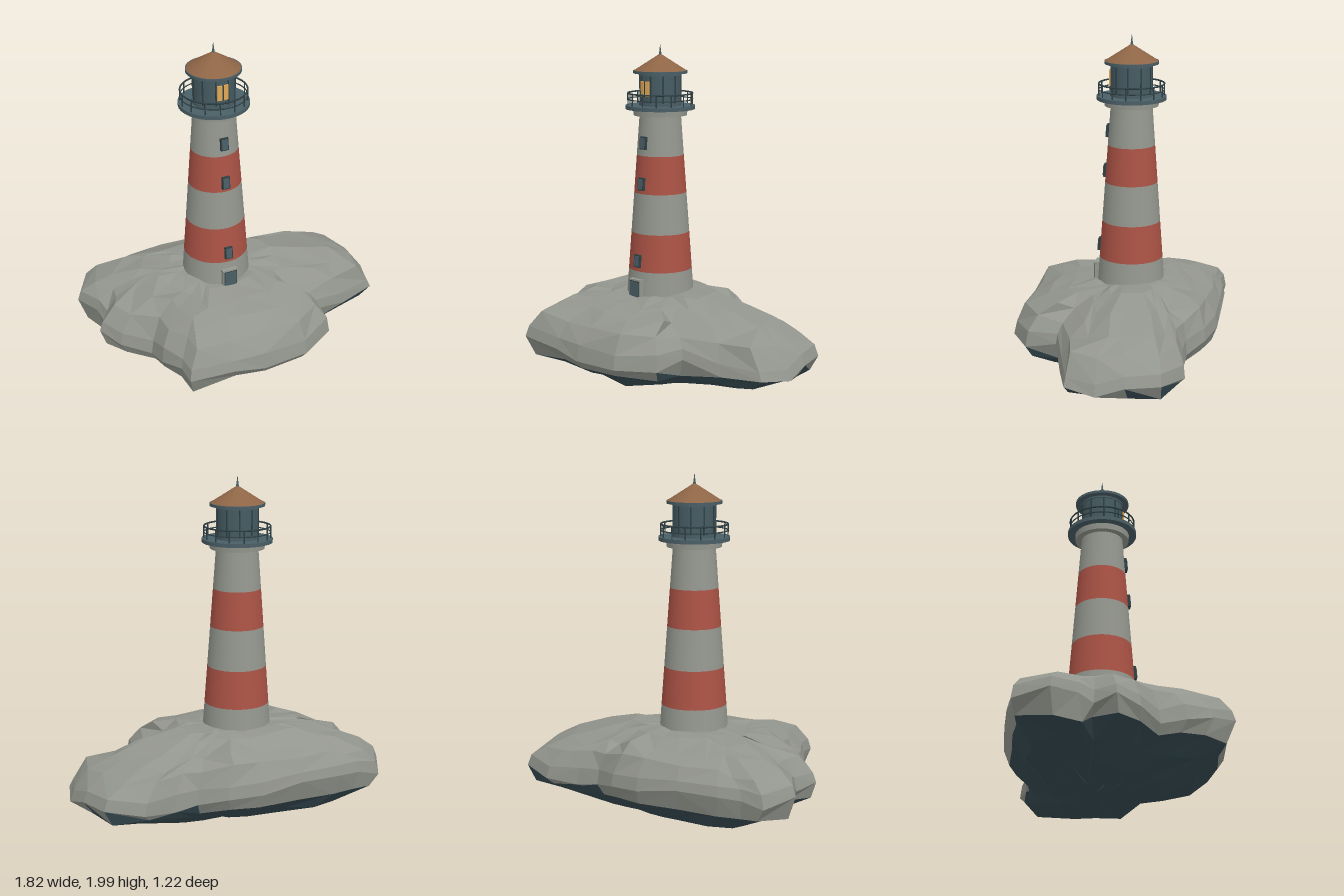
import * as THREE from 'three';

const mat = (name, color, extra = {}) =>
  Object.assign(new THREE.MeshStandardMaterial({ color, ...extra }), { name });
const rock = mat('dry rock', 0x92958d, { flatShading: true });
const wetRock = mat('wet rock', 0x364b52, { flatShading: true });
const stone = mat('pale stone', 0x959890);
const red = mat('red band', 0xac5345);
const trim = mat('blue grey metal', 0x4a5f66);
const dark = mat('dark metal', 0x2f4044);
const glass = mat('glass', 0x465c63);
const copper = mat('copper roof', 0x8e6546);
const lampGlow = mat('lamp', 0xe2a855);

function add(parent, name, geometry, material, x = 0, y = 0, z = 0) {
  const m = new THREE.Mesh(geometry, material);
  m.name = name;
  m.position.set(x, y, z);
  parent.add(m);
  return m;
}
// Upright cylinder or cone between two heights
const drum = (parent, name, r0, r1, y0, y1, material, sides = 48) =>
  add(parent, name, new THREE.CylinderGeometry(r1, r0, y1 - y0, sides), material, 0, (y0 + y1) / 2, 0);
const box = (parent, name, w, h, d, material, x, y, z) =>
  add(parent, name, new THREE.BoxGeometry(w, h, d), material, x, y, z);
const hoop = (parent, name, r, tube, y, material) => {
  add(parent, name, new THREE.TorusGeometry(r, tube, 6, 48), material, 0, y, 0).rotation.x = Math.PI / 2;
};

// Island: rings scaled from the shoreline, from the top centre over the rim to the underside
function buildIsland() {
  let seed = 7;
  const rand = () => ((seed = (seed * 16807) % 2147483647) / 2147483647) * 2 - 1;
  const cx = -0.1, cz = -0.1;
  // Shoreline corners: x, z, rim height
  const shore = [
    [-0.81, -0.58, 0.30], [-0.68, -0.575, 0.33], [-0.55, -0.60, 0.33], [-0.30, -0.61, 0.33],
    [-0.05, -0.61, 0.30], [0.14, -0.565, 0.27], [0.29, -0.475, 0.24], [0.43, -0.475, 0.24],
    [0.62, -0.51, 0.24], [0.82, -0.41, 0.26], [0.876, -0.22, 0.25], [0.905, -0.06, 0.215],
    [0.85, 0.12, 0.22], [0.62, 0.195, 0.24], [0.395, 0.27, 0.28], [0.375, 0.455, 0.28],
    [0.16, 0.58, 0.27], [-0.12, 0.605, 0.26], [-0.31, 0.595, 0.27], [-0.585, 0.60, 0.29],
    [-0.59, 0.485, 0.31], [-0.65, 0.335, 0.28], [-0.66, 0.195, 0.26], [-0.81, 0.08, 0.28],
    [-0.89, -0.05, 0.31], [-0.82, -0.16, 0.30], [-0.84, -0.24, 0.32], [-0.91, -0.385, 0.33],
  ];
  // Ring: scale, height, height on the long right slope, sideways jitter, height jitter
  const surface = [
    [0, 0.55, 0.55, 0, 0], [0.2, 0.555, 0.56, 0, 0], [0.34, 0.56, 0.56, 0.006, 0.01],
    [0.53, 0.545, 0.5, 0.03, 0.02], [0.72, 0.505, 0.435, 0.03, 0.025], [0.88, 0.44, 0.38, 0.02, 0.022],
  ];
  const underside = [
    [0.94, 0.195, 0.175, 0.015, 0.022], [0.77, 0.125, 0.125, 0.025, 0.018],
    [0.52, 0.058, 0.07, 0.03, 0.014], [0.27, 0.018, 0.025, 0.02, 0.01], [0, 0.035, 0.035, 0, 0],
  ];
  const ring = ([f, y, yRight, side, up]) => shore.map(([x, z]) => {
    const slope = THREE.MathUtils.clamp((x - 0.1) / 0.5, 0, 1);
    // The ground dips a little in front of the door
    const dip = y > 0.5 && f < 0.6 ? Math.max(0, z) * 0.035 : 0;
    return new THREE.Vector3(
      cx + (x - cx) * f + rand() * side,
      Math.max(0, THREE.MathUtils.lerp(y, yRight, slope) - dip + rand() * up),
      cz + (z - cz) * f + rand() * side);
  });
  // Steep broken rim between the top surface and the underside
  const rimRing = (f, rise) => shore.map(([x, z, rim]) => new THREE.Vector3(
    cx + (x - cx) * f, rim + rise + rand() * 0.02, cz + (z - cz) * f));
  const rings = [...surface.map(ring), rimRing(0.975, 0.065), rimRing(1, -0.015), ...underside.map(ring)];

  const dry = [], wet = [];
  const face = (a, b, c) => {
    if (a.distanceTo(b) < 1e-5 || b.distanceTo(c) < 1e-5 || a.distanceTo(c) < 1e-5) return;
    const list = (a.y + b.y + c.y) / 3 < 0.205 ? wet : dry;
    for (const p of [a, b, c]) list.push(p.x, p.y, p.z);
  };
  for (let k = 0; k < rings.length - 1; k++) {
    for (let i = 0; i < shore.length; i++) {
      const j = (i + 1) % shore.length;
      const a = rings[k][i], b = rings[k][j], c = rings[k + 1][i], d = rings[k + 1][j];
      if (rand() > 0) { face(a, b, d); face(a, d, c); } else { face(a, b, c); face(b, d, c); }
    }
  }
  const island = new THREE.Group();
  island.name = 'island';
  for (const [name, list, material] of [['dryRock', dry, rock], ['wetRock', wet, wetRock]]) {
    const g = new THREE.BufferGeometry();
    g.setAttribute('position', new THREE.Float32BufferAttribute(list, 3));
    g.computeVertexNormals();
    add(island, name, g, material);
  }
  return island;
}

function buildLighthouse() {
  const house = new THREE.Group();
  house.name = 'lighthouse';
  house.position.set(-0.128, 0, -0.075);
  const radiusAt = (y) => 0.196 - (y - 0.57) * 0.0728;

  // Banded tapering tower
  const bands = [0.5, 0.68, 0.902, 1.138, 1.36, 1.6];
  for (let i = 0; i < 5; i++) {
    drum(house, 'towerBand', radiusAt(bands[i]), radiusAt(bands[i + 1]), bands[i], bands[i + 1], i % 2 ? red : stone);
  }

  // Windows up the front and the door
  for (const y of [0.742, 1.197, 1.437]) {
    const win = new THREE.Group();
    win.name = 'window';
    win.position.set(0, y, radiusAt(y));
    win.rotation.x = -0.073;
    box(win, 'windowFrame', 0.047, 0.075, 0.028, dark, 0, 0, 0);
    box(win, 'windowPane', 0.034, 0.061, 0.004, trim, 0, 0, 0.015);
    house.add(win);
  }
  box(house, 'doorFrame', 0.094, 0.115, 0.04, stone, 0, 0.579, 0.196);
  box(house, 'doorEdge', 0.08, 0.106, 0.006, dark, 0, 0.574, 0.215);
  box(house, 'door', 0.07, 0.101, 0.006, trim, 0, 0.572, 0.218);

  // Collar and gallery deck
  drum(house, 'collar', 0.157, 0.16, 1.592, 1.63, stone);
  drum(house, 'galleryDeck', 0.203, 0.203, 1.628, 1.65, trim);

  // Railing
  hoop(house, 'topRail', 0.19, 0.005, 1.72, dark);
  hoop(house, 'middleRail', 0.19, 0.0035, 1.685, dark);
  for (let i = 0; i < 14; i++) {
    const a = ((i + 0.5) / 14) * Math.PI * 2;
    add(house, 'railPost', new THREE.CylinderGeometry(0.004, 0.004, 0.072, 6), dark,
      Math.sin(a) * 0.19, 1.685, Math.cos(a) * 0.19);
  }

  // Lantern room with glazing bars and lit panes at the front
  drum(house, 'lanternGlass', 0.12, 0.12, 1.65, 1.84, glass);
  drum(house, 'lanternSill', 0.125, 0.125, 1.65, 1.668, trim);
  drum(house, 'lanternHead', 0.125, 0.125, 1.825, 1.84, trim);
  for (let i = 0; i < 10; i++) {
    const a = ((i + 0.5) / 10) * Math.PI * 2;
    const bar = box(house, 'glazingBar', 0.008, 0.17, 0.01, dark, Math.sin(a) * 0.119, 1.745, Math.cos(a) * 0.119);
    bar.rotation.y = a;
  }
  for (const s of [-1, 1]) {
    box(house, 'lampPane', 0.028, 0.088, 0.009, lampGlow, s * 0.0185, 1.75, 0.124).rotation.y = s * 0.15;
  }
  box(house, 'lampBar', 0.008, 0.09, 0.009, dark, 0, 1.75, 0.124);

  // Roof and finial
  drum(house, 'roofRim', 0.158, 0.158, 1.836, 1.852, trim);
  drum(house, 'roof', 0.153, 0.008, 1.852, 1.945, copper);
  drum(house, 'finialBase', 0.01, 0.007, 1.935, 1.955, trim, 12);
  drum(house, 'finialSpike', 0.007, 0.001, 1.95, 2.0, trim, 12);
  return house;
}

export function createModel() {
  const model = new THREE.Group();
  model.name = 'lighthouseIsland';
  model.add(buildIsland(), buildLighthouse());
  return model;
}
